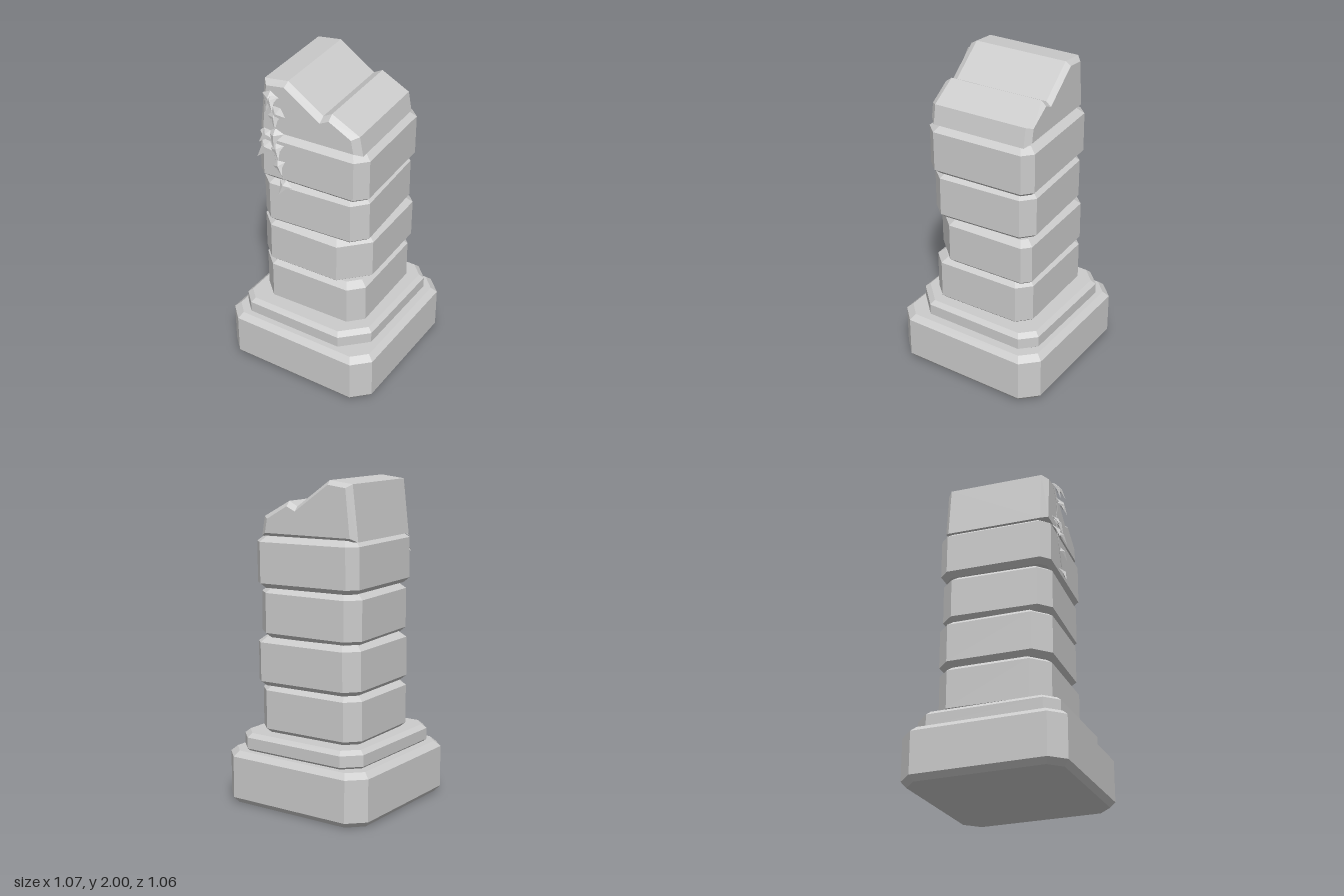
import * as THREE from 'three';

const stone = new THREE.MeshStandardMaterial({ color: 0xcccccc, side: THREE.DoubleSide });
stone.name = 'grey stone';

function facets(tris) {
  const g = new THREE.BufferGeometry();
  g.setAttribute('position', new THREE.Float32BufferAttribute(tris.flat(2), 3));
  g.computeVertexNormals();
  return g;
}

// Skin a stack of counter-clockwise rings ({ w, pts }) along +z and cap both ends.
function loft(rings) {
  const tris = [];
  const p = (r, i) => [...r.pts[i % r.pts.length], r.w];
  for (let k = 0; k < rings.length - 1; k++) {
    const a = rings[k], b = rings[k + 1];
    for (let i = 0; i < a.pts.length; i++) {
      tris.push([p(a, i), p(a, i + 1), p(b, i + 1)], [p(a, i), p(b, i + 1), p(b, i)]);
    }
  }
  const first = rings[0], last = rings[rings.length - 1];
  const caps = THREE.ShapeUtils.triangulateShape(last.pts.map(q => new THREE.Vector2(...q)), []);
  for (const [a, b, c] of caps) {
    tris.push([p(last, a), p(last, b), p(last, c)], [p(first, c), p(first, b), p(first, a)]);
  }
  return facets(tris);
}

// Rectangle with cut corners, cuts in the order front-left(-x), front-right(+x), back-right, back-left.
function octagon(hw, hd, [a, b, c, d], inset) {
  const x = hw - inset, z = hd - inset, k = inset * 0.4;
  return [
    [-x, -z + a - k], [-x + a - k, -z], [x - b + k, -z], [x, -z + b - k],
    [x, z - c + k], [x - c + k, z], [-x + d - k, z], [-x, z - d + k],
  ];
}

function block({ name, hw, hd, y0, y1, cuts, low, high, inset, x = 0, z = 0, turn = 0, tilt = 0 }) {
  const h = y1 - y0;
  const ring = (w, inn) => ({ w: w - h / 2, pts: octagon(hw, hd, cuts, inn) });
  const g = loft([ring(0, inset * 0.8), ring(low, 0), ring(h - high, 0), ring(h, inset)]);
  g.rotateX(-Math.PI / 2);
  const mesh = new THREE.Mesh(g, stone);
  mesh.name = name;
  mesh.position.set(x, (y0 + y1) / 2, z);
  mesh.rotation.set(0, turn, tilt);
  return mesh;
}

// Arrow-shaped leaf, folded along its middle and hanging from its stem.
function leafGeometry() {
  const stem = [0, 0, 0], ridge = [0, -0.045, 0.02], tip = [0, -0.125, 0];
  const tris = [];
  for (const s of [-1, 1]) {
    const lobe = [s * 0.055, -0.03, -0.012], waist = [s * 0.022, -0.065, 0];
    tris.push([stem, lobe, ridge], [lobe, waist, ridge], [waist, tip, ridge]);
  }
  return facets(tris);
}

export function createModel() {
  const pillar = new THREE.Group();
  pillar.name = 'ruinedPillar';

  // Stepped foot
  pillar.add(block({
    name: 'base', hw: 0.515, hd: 0.51, y0: 0, y1: 0.33, cuts: [0.09, 0.1, 0.1, 0.1],
    low: 0.035, high: 0.033, inset: 0.036, turn: -0.054,
  }));
  pillar.add(block({
    name: 'plinth', hw: 0.44, hd: 0.45, y0: 0.325, y1: 0.44, cuts: [0.08, 0.15, 0.09, 0.1],
    low: 0.02, high: 0.025, inset: 0.028, turn: -0.054,
  }));

  // Shaft blocks, each slightly shifted
  const shaft = [
    { hw: 0.36, hd: 0.35, y0: 0.435, y1: 0.74, cuts: [0.105, 0.085, 0.08, 0.08], turn: -0.025 },
    { hw: 0.36, hd: 0.357, y0: 0.735, y1: 1.04, cuts: [0.1, 0.16, 0.05, 0.08], turn: -0.02, x: 0.005, tilt: -0.008 },
    { hw: 0.35, hd: 0.35, y0: 1.037, y1: 1.345, cuts: [0.075, 0.085, 0.075, 0.08], turn: 0.015, x: 0.01, tilt: 0.004 },
    { hw: 0.36, hd: 0.358, y0: 1.342, y1: 1.655, cuts: [0.055, 0.07, 0.06, 0.06], x: 0.015, tilt: -0.008 },
  ];
  shaft.forEach((s, i) => pillar.add(block({ name: `shaftBlock${i + 1}`, low: 0.03, high: 0.033, inset: 0.04, ...s })));

  // Broken top, its ends bevelled
  const outline = [
    [-0.335, 1.65], [0.34, 1.65], [0.318, 1.77], [0.14, 1.868], [0.083, 1.838], [-0.142, 2], [-0.297, 1.982],
  ];
  const end = [
    [-0.295, 1.672], [0.298, 1.672], [0.282, 1.757], [0.14, 1.838], [0.083, 1.81], [-0.147, 1.975], [-0.265, 1.96],
  ];
  const top = new THREE.Mesh(loft([
    { w: -0.328, pts: end }, { w: -0.297, pts: outline }, { w: 0.305, pts: outline }, { w: 0.345, pts: end },
  ]), stone);
  top.name = 'brokenTop';
  pillar.add(top);

  // Ivy strand hanging down the front
  const ivy = new THREE.Group();
  ivy.name = 'ivy';
  const path = new THREE.CatmullRomCurve3([
    [-0.23, 1.95, 0.36], [-0.19, 1.8, 0.372], [-0.2, 1.68, 0.365], [-0.2, 1.55, 0.38], [-0.13, 1.36, 0.38],
  ].map(p => new THREE.Vector3(...p)));
  const vine = new THREE.Mesh(new THREE.TubeGeometry(path, 16, 0.003, 4), stone);
  vine.name = 'vine';
  ivy.add(vine);

  // Leaves: x, y, z, lean, roll, scale
  const leafShape = leafGeometry();
  [
    [-0.22, 1.95, 0.37, -0.3, -0.1, 1], [-0.22, 1.93, 0.38, -0.5, 0.4, 0.8],
    [-0.15, 1.86, 0.38, -0.35, -0.5, 0.95], [-0.19, 1.84, 0.385, -0.4, 0.25, 0.9],
    [-0.2, 1.71, 0.365, -0.35, 0.1, 1], [-0.23, 1.69, 0.37, -0.5, -0.6, 0.8],
    [-0.23, 1.62, 0.375, -0.4, -0.55, 1], [-0.19, 1.62, 0.38, -0.45, 0.4, 0.8],
    [-0.18, 1.51, 0.385, -0.35, 0.5, 0.75], [-0.125, 1.385, 0.375, -0.4, -0.35, 0.85],
  ].forEach(([x, y, z, lean, roll, s]) => {
    const leaf = new THREE.Mesh(leafShape, stone);
    leaf.name = 'leaf';
    leaf.position.set(x, y, z);
    leaf.rotation.set(lean, 0, roll);
    leaf.scale.setScalar(s);
    ivy.add(leaf);
  });
  pillar.add(ivy);
  return pillar;
}
